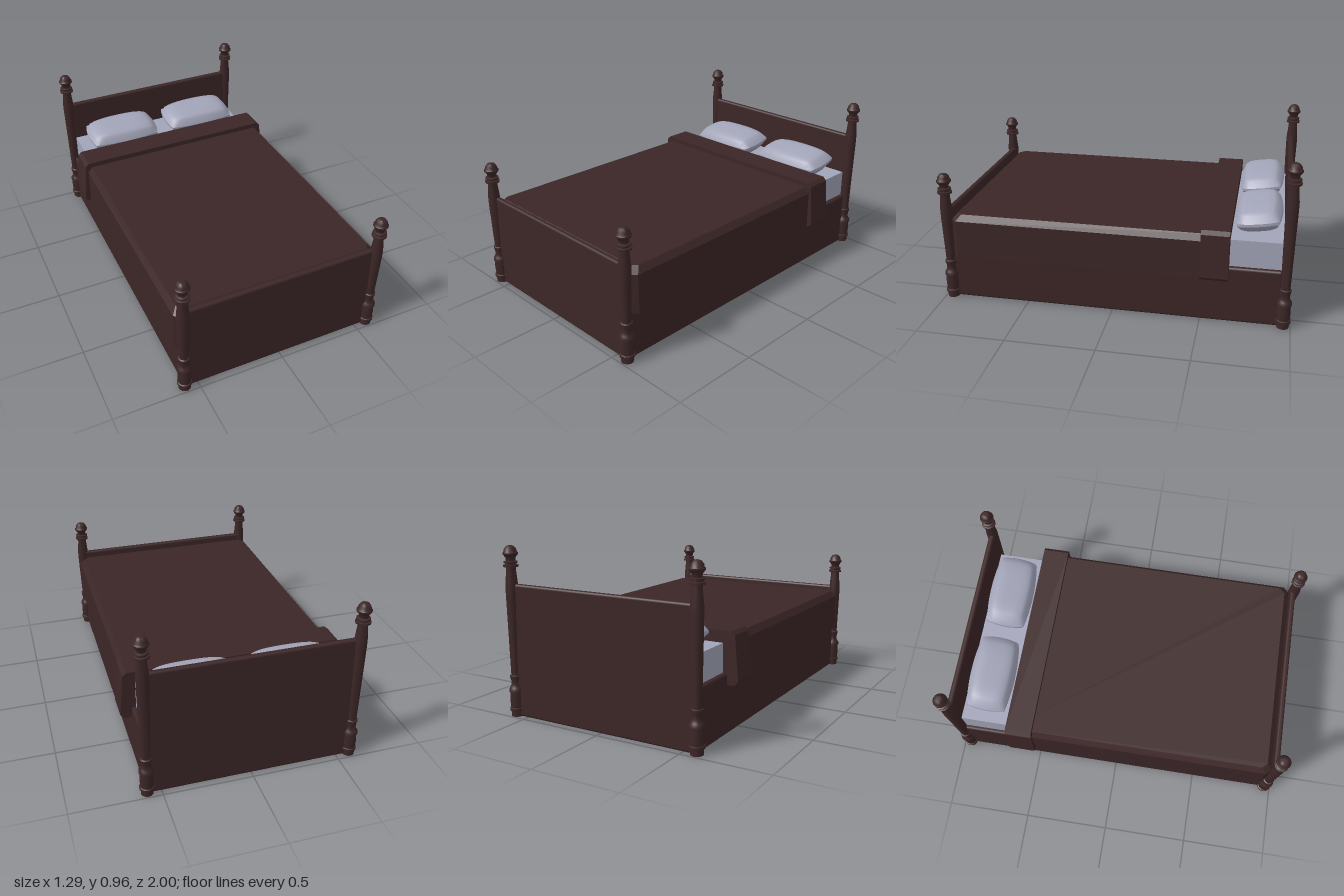
import * as THREE from 'three';
import { toCreasedNormals } from 'three/addons/utils/BufferGeometryUtils.js';
import { RoundedBoxGeometry } from 'three/addons/geometries/RoundedBoxGeometry.js';

const wood = new THREE.MeshStandardMaterial({ color: 0x3c2627 });
wood.name = 'dark wood and blanket';
const linen = new THREE.MeshStandardMaterial({ color: 0xa2a4b8 });
linen.name = 'pale linen';

function add(parent, name, geometry, material, x = 0, y = 0, z = 0) {
  const mesh = new THREE.Mesh(geometry, material);
  mesh.name = name;
  mesh.position.set(x, y, z);
  parent.add(mesh);
  return mesh;
}

// Turned post; the shaft stretches by `extra`, base and finial stay the same
function postGeometry(extra) {
  const base = [
    [0, 0], [0.034, 0], [0.034, 0.03], [0.041, 0.033], [0.041, 0.047], [0.035, 0.05],
    [0.038, 0.09], [0.035, 0.138], [0.041, 0.141], [0.041, 0.155], [0.034, 0.165],
    [0.027, 0.18], [0.028, 0.205], [0.033, 0.222], [0.033, 0.232], [0.026, 0.236],
  ];
  const top = [
    [0.034, 0.5], [0.034, 0.55], [0.027, 0.625], [0.027, 0.648], [0.041, 0.65], [0.041, 0.66],
    [0.031, 0.663], [0.031, 0.669], [0.037, 0.671], [0.037, 0.679], [0.025, 0.683], [0.027, 0.7],
    [0.036, 0.712], [0.041, 0.718], [0.041, 0.726], [0.035, 0.732], [0.033, 0.745],
    [0.022, 0.76], [0.01, 0.765], [0, 0.766],
  ];
  const points = [...base, ...top.map(([r, y]) => [r, y + extra])];
  const lathe = new THREE.LatheGeometry(points.map(([r, y]) => new THREE.Vector2(r, y)), 20);
  return toCreasedNormals(lathe, 0.7);
}

// Closed solid from horizontal rings, bottom to top, each counter-clockwise from above
function loft(rings) {
  const out = [];
  const n = rings[0].length;
  const tri = (a, b, c) => out.push(...a, ...b, ...c);
  for (let k = 0; k < rings.length - 1; k++) {
    for (let i = 0; i < n; i++) {
      const j = (i + 1) % n;
      tri(rings[k][i], rings[k][j], rings[k + 1][j]);
      tri(rings[k][i], rings[k + 1][j], rings[k + 1][i]);
    }
  }
  const low = rings[0], high = rings[rings.length - 1];
  for (let i = 1; i < n - 1; i++) {
    tri(low[0], low[i + 1], low[i]);
    tri(high[0], high[i], high[i + 1]);
  }
  const geometry = new THREE.BufferGeometry();
  geometry.setAttribute('position', new THREE.Float32BufferAttribute(out, 3));
  geometry.computeVertexNormals();
  return geometry;
}

// Blanket ring with cut corners at the foot
function blanketRing(y, w, front) {
  const back = -0.63, c = 0.03;
  return [[-w, back], [-w, front - c], [c - w, front], [w - c, front], [w, front - c], [w, back]]
    .map(([x, z]) => [x, y, z]);
}

// Folded band across the blanket, flaring outwards at the sides
function foldGeometry() {
  const half = [[0.6, 0.555], [0.622, 0.535], [0.643, 0.292], [0.62, 0.27]];
  const outline = [...half.map(([x, y]) => [-x, y]), ...half.slice().reverse()];
  const shape = new THREE.Shape(outline.map(([x, y]) => new THREE.Vector2(x, y)));
  return new THREE.ExtrudeGeometry(shape, { depth: 0.155, bevelEnabled: false });
}

// Plump pillow: a flat box with bowed sides, swelling towards the middle
function pillowGeometry() {
  const geometry = new THREE.BoxGeometry(2, 2, 2, 16, 1, 12);
  const p = geometry.attributes.position;
  for (let i = 0; i < p.count; i++) {
    const u = p.getX(i), v = p.getZ(i);
    const swell = Math.sqrt((1 - u ** 4) * (1 - v ** 4));
    p.setXYZ(i,
      u * (0.215 + 0.017 * (1 - v * v)),
      p.getY(i) * (0.008 + 0.057 * swell),
      v * (0.112 + 0.02 * (1 - u * u)));
  }
  geometry.computeVertexNormals();
  return geometry;
}

export function createModel() {
  const bed = new THREE.Group();
  bed.name = 'bed';

  // Frame: solid base and end boards
  add(bed, 'bedBase', new RoundedBoxGeometry(1.16, 0.333, 1.88, 3, 0.015), wood, 0, 0.1665, 0);
  add(bed, 'headboard', new RoundedBoxGeometry(1.13, 0.747, 0.034, 3, 0.014), wood, 0, 0.3735, -0.952);
  add(bed, 'footboard', new RoundedBoxGeometry(1.13, 0.555, 0.034, 3, 0.014), wood, 0, 0.2775, 0.948);

  // Four turned posts
  const headPost = postGeometry(0.19), footPost = postGeometry(0);
  for (const [side, x] of [['left', 0.577], ['right', -0.577]]) {
    add(bed, side + 'HeadPost', headPost, wood, x, 0, -0.959);
    add(bed, side + 'FootPost', footPost, wood, x, 0, 0.959);
  }

  // Bedding
  add(bed, 'mattress', new THREE.BoxGeometry(1.11, 0.19, 1.8), linen, 0, 0.395, -0.035);
  add(bed, 'blanket', loft([
    blanketRing(0.27, 0.61, 0.929),
    blanketRing(0.49, 0.607, 0.929),
    blanketRing(0.525, 0.58, 0.9),
  ]), wood);
  add(bed, 'blanketFold', foldGeometry(), wood, 0, 0, -0.65);

  // Pillows, leaning up towards the headboard
  const pillow = pillowGeometry();
  for (const [side, x] of [['left', 0.272], ['right', -0.272]]) {
    add(bed, side + 'Pillow', pillow, linen, x, 0.56, -0.79).rotation.x = 0.14;
  }
  return bed;
}
